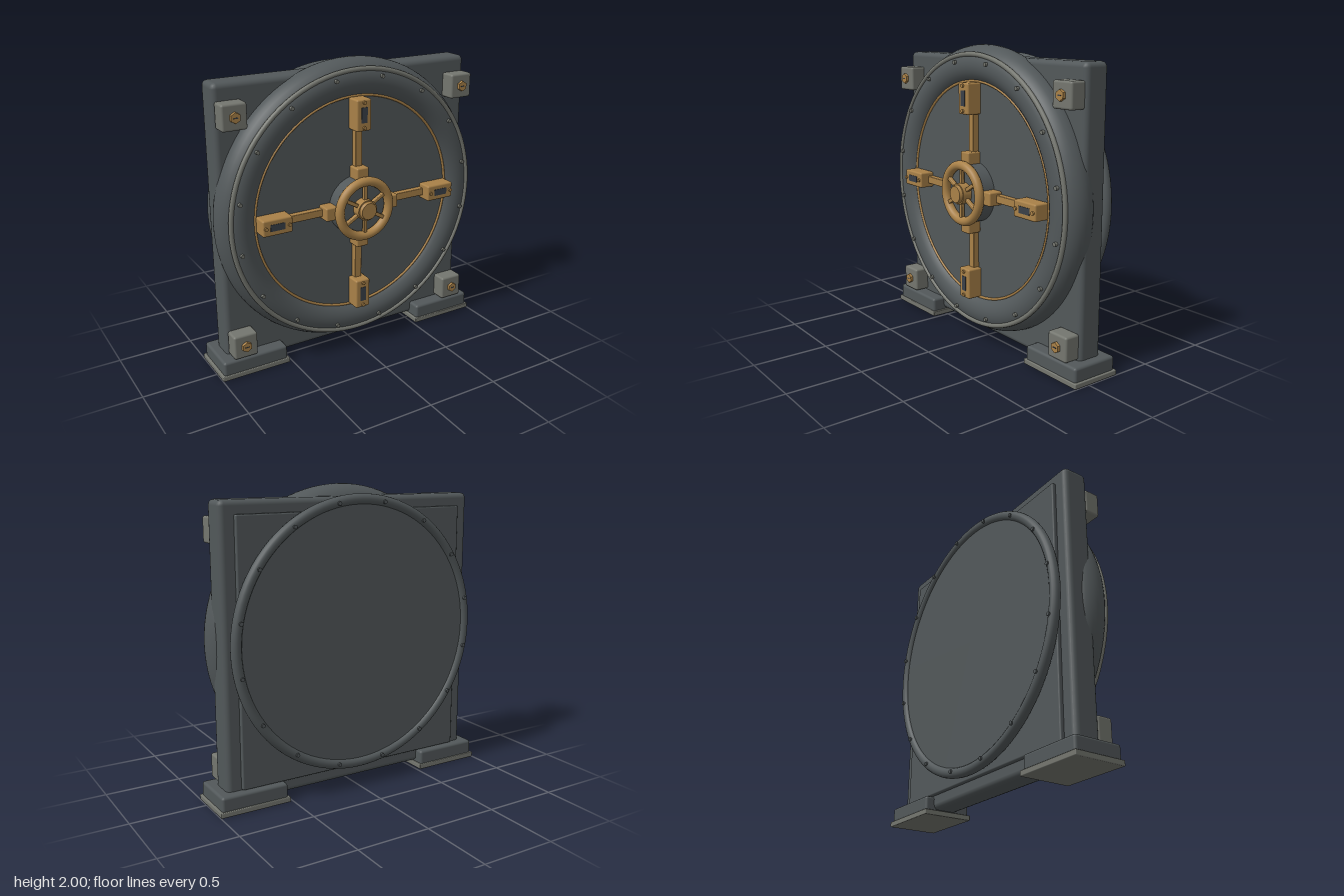
import * as THREE from 'three';
import { RoundedBoxGeometry } from 'three/addons/geometries/RoundedBoxGeometry.js';

const mat = (name, color) => {
  const m = new THREE.MeshStandardMaterial({ color });
  m.name = name;
  return m;
};

export function createModel() {
  const steel = mat('dark steel', 0x52585a);
  const lightSteel = mat('light steel', 0x74766f);
  const brass = mat('brass', 0xa98148);
  const inset = mat('dark inset', 0x3a4048);

  const model = new THREE.Group();
  model.name = 'vaultDoor';

  const add = (parent, name, geo, material, x = 0, y = 0, z = 0) => {
    const m = new THREE.Mesh(geo, material);
    m.name = name;
    m.position.set(x, y, z);
    parent.add(m);
    return m;
  };
  const box = (w, h, d, r = 0.01) => new RoundedBoxGeometry(w, h, d, 2, r);
  // cylinder along z, centred
  const disc = (r, d, n = 64, r2 = r) => new THREE.CylinderGeometry(r2, r, d, n).rotateX(Math.PI / 2);
  const ring = (R, t, s = 16) => new THREE.TorusGeometry(R, t, s, 96);

  // Frame slab and back plate
  add(model, 'frameSlab', box(1.85, 1.885, 0.178, 0.035), steel, 0, 0.9825, -0.077);
  add(model, 'backPlate', box(1.66, 1.71, 0.05, 0.01), steel, 0, 0.985, -0.167);

  // Feet
  for (const s of [-1, 1]) {
    const foot = new THREE.Group();
    foot.name = s > 0 ? 'leftFoot' : 'rightFoot';
    foot.position.x = s * 0.759;
    add(foot, 'footBlock', box(0.455, 0.105, 0.33, 0.018), steel, 0, 0.0745, -0.062);
    add(foot, 'footPad', box(0.482, 0.035, 0.35, 0.006), lightSteel, 0, 0.0175, -0.063);
    model.add(foot);
  }

  // Corner blocks with slotted hex bolts
  for (const x of [-0.832, 0.832]) for (const y of [0.219, 1.738]) {
    const corner = new THREE.Group();
    corner.name = 'cornerBlock';
    corner.position.set(x, y, 0);
    add(corner, 'block', box(0.165, 0.165, 0.11, 0.015), lightSteel, 0, 0, 0.06);
    const hex = new THREE.CylinderGeometry(0.034, 0.036, 0.02, 6).rotateX(Math.PI / 2).toNonIndexed();
    hex.computeVertexNormals();
    add(corner, 'hexBolt', hex, brass, 0, 0, 0.123);
    add(corner, 'boltSlot', new THREE.BoxGeometry(0.028, 0.007, 0.004), inset, 0, 0, 0.133);
    model.add(corner);
  }

  // Round door, built around its own centre
  const door = new THREE.Group();
  door.name = 'roundDoor';
  door.position.y = 1.04;
  model.add(door);

  add(door, 'doorRing', ring(0.83, 0.13, 32), steel, 0, 0, 0.017);
  add(door, 'ringBead', ring(0.9, 0.016, 10), lightSteel, 0, 0, 0.13);
  add(door, 'doorPanel', disc(0.76, 0.1, 96), steel, 0, 0, 0.05);
  add(door, 'panelTrim', ring(0.728, 0.009, 8), brass, 0, 0, 0.102);
  add(door, 'backDisc', disc(0.85, 0.06, 96), steel, 0, 0, -0.215);
  add(door, 'backRing', ring(0.87, 0.034), steel, 0, 0, -0.232);

  // Rivets around both rings
  for (let i = 0; i < 16; i++) {
    const a = (i + 0.5) * Math.PI / 8, c = Math.cos(a), s = Math.sin(a);
    add(door, 'frontRivet', disc(0.013, 0.025, 12), lightSteel, 0.858 * c, 0.858 * s, 0.148);
    add(door, 'backRivet', disc(0.013, 0.024, 12), steel, 0.865 * c, 0.865 * s, -0.263);
  }

  // Four locking arms
  for (let i = 0; i < 4; i++) {
    const arm = new THREE.Group();
    arm.name = 'lockingArm';
    arm.rotation.z = i * Math.PI / 2;
    add(arm, 'bar', box(0.4, 0.05, 0.045, 0.005), brass, 0.38, 0, 0.12);
    add(arm, 'hubBracket', box(0.09, 0.09, 0.1, 0.01), brass, 0.228, 0, 0.147);
    add(arm, 'latchBox', box(0.205, 0.108, 0.108, 0.012), brass, 0.62, 0, 0.151);
    add(arm, 'latchWindow', new THREE.BoxGeometry(0.1, 0.044, 0.006), inset, 0.622, 0, 0.205);
    for (const x of [0.54, 0.703]) add(arm, 'latchScrew', disc(0.012, 0.014, 12), brass, x, 0, 0.209);
    model.userData = {};
    door.add(arm);
  }

  // Handwheel
  const wheel = new THREE.Group();
  wheel.name = 'handwheel';
  add(wheel, 'wheelBase', disc(0.2, 0.095), steel, 0, 0, 0.142);
  add(wheel, 'wheelRim', ring(0.186, 0.031), brass, 0, 0, 0.215);
  add(wheel, 'wheelHub', disc(0.07, 0.065, 32), brass, 0, 0, 0.222);
  add(wheel, 'wheelCap', disc(0.062, 0.022, 32, 0.055), brass, 0, 0, 0.264);
  for (let i = 0; i < 6; i++) {
    const a = Math.PI / 6 + i * Math.PI / 3;
    const spoke = add(wheel, 'wheelSpoke', box(0.12, 0.026, 0.026, 0.005), brass,
      0.115 * Math.cos(a), 0.115 * Math.sin(a), 0.218);
    spoke.rotation.z = a;
  }
  door.add(wheel);

  return model;
}
